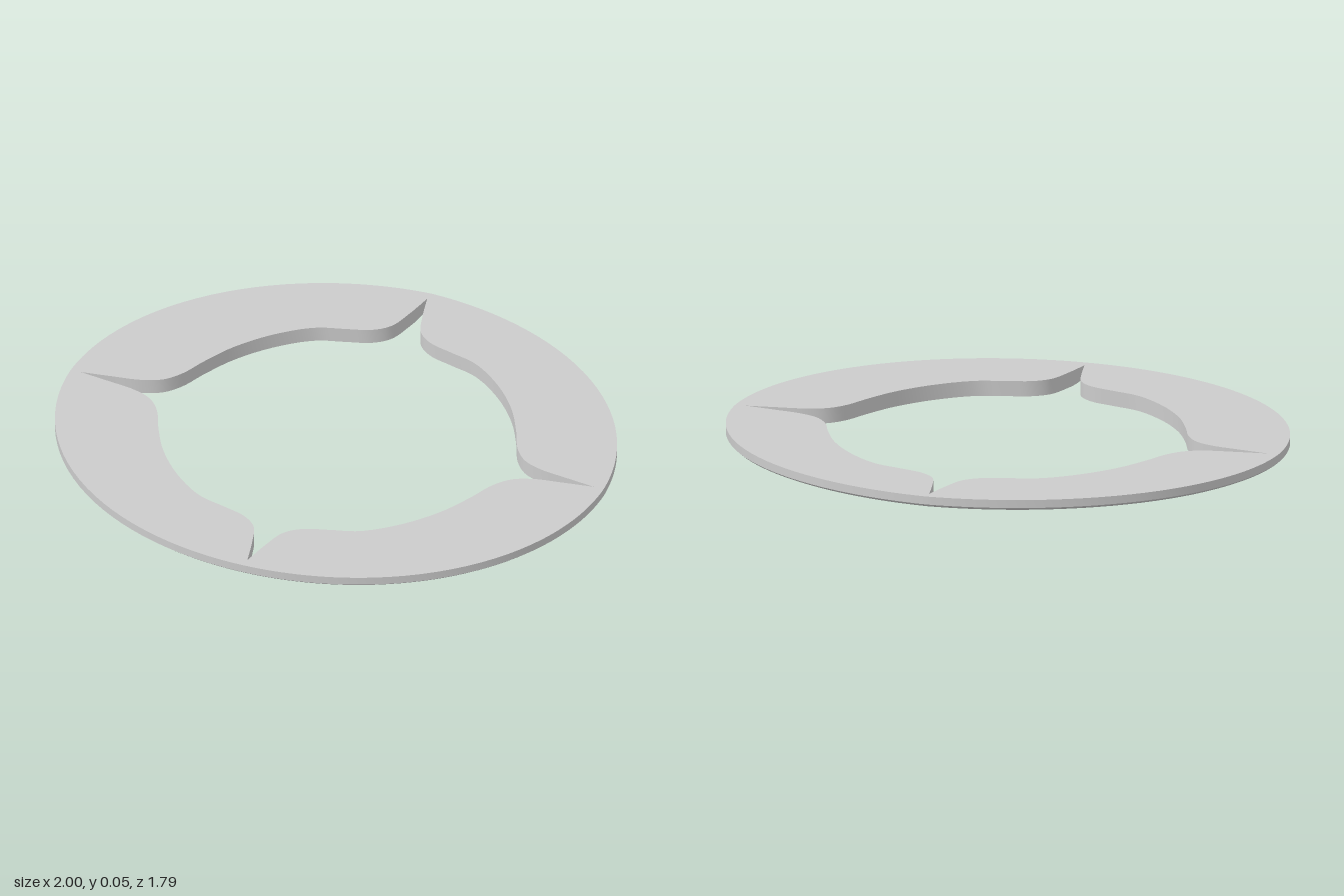
import * as THREE from 'three';
import { toCreasedNormals } from 'three/addons/utils/BufferGeometryUtils.js';

const TOP = 0.055;
const DEPTH = 0.895; // half depth in z
const SAMPLES = 56; // per quarter

// Inner edge of one quarter, from the side slot tip to the front slot tip (x, z)
const innerQuarter = new THREE.CatmullRomCurve3([
  [0.965, 0], [0.85, 0.016], [0.75, 0.032], [0.68, 0.062], [0.63, 0.12], [0.585, 0.22],
  [0.52, 0.34], [0.42, 0.46], [0.3, 0.552], [0.2, 0.583], [0.11, 0.612], [0.055, 0.66],
  [0.025, 0.75], [0, 0.86],
].map(([x, z]) => new THREE.Vector3(x, 0, z))).getPoints(SAMPLES);

// Underside rounding: distance in from the outer edge, height
const underside = [[0, 0.026], [0.008, 0.019], [0.02, 0.014], [0.04, 0.009], [0.07, 0.004], [0.11, 0]];

function undersideHeight(d) {
  for (let i = 1; i < underside.length; i++) {
    const [d0, y0] = underside[i - 1], [d1, y1] = underside[i];
    if (d <= d1) return y0 + (y1 - y0) * (d - d0) / (d1 - d0);
  }
  return 0;
}

// Outer edge: an ellipse, slightly flattened beside the back point
function outerRadius(a) {
  const r = 1 / Math.hypot(Math.cos(a), Math.sin(a) / DEPTH);
  return r - (Math.sin(a) < 0 ? 0.016 * Math.abs(Math.sin(2 * a)) : 0);
}

// Full inner edge as [angle, radius], mirrored into four quarters
function innerLoop() {
  const loop = [];
  for (let q = 0; q < 4; q++) {
    for (let i = 0; i < SAMPLES; i++) {
      const p = innerQuarter[q % 2 ? SAMPLES - i : i];
      const x = q === 1 || q === 2 ? -p.x : p.x;
      const z = q > 1 ? -p.z : p.z;
      loop.push([Math.atan2(z, x), Math.hypot(x, z)]);
    }
  }
  return loop;
}

function ringGeometry() {
  const positions = [], index = [];
  const loop = innerLoop();
  const n = underside.length + 3; // points per cross-section
  for (const [a, inner] of loop) {
    const outer = outerRadius(a);
    const section = [[inner, TOP], [outer, TOP]];
    for (const [d] of underside) {
      const inset = Math.min(d, outer - inner);
      section.push([outer - inset, undersideHeight(inset)]);
    }
    section.push([inner, undersideHeight(outer - inner)]);
    for (const [r, y] of section) positions.push(r * Math.cos(a), y, r * Math.sin(a));
  }
  for (let i = 0; i < loop.length; i++) {
    const j = (i + 1) % loop.length;
    for (let k = 0; k < n; k++) {
      const l = (k + 1) % n;
      index.push(i * n + k, j * n + k, i * n + l, j * n + k, j * n + l, i * n + l);
    }
  }
  const geometry = new THREE.BufferGeometry();
  geometry.setAttribute('position', new THREE.Float32BufferAttribute(positions, 3));
  geometry.setIndex(index);
  return toCreasedNormals(geometry, Math.PI / 4);
}

export function createModel() {
  const group = new THREE.Group();
  group.name = 'slottedRing';
  const ring = new THREE.Mesh(ringGeometry(), new THREE.MeshStandardMaterial({ color: 0xcccccc }));
  ring.name = 'ring';
  group.add(ring);
  return group;
}
